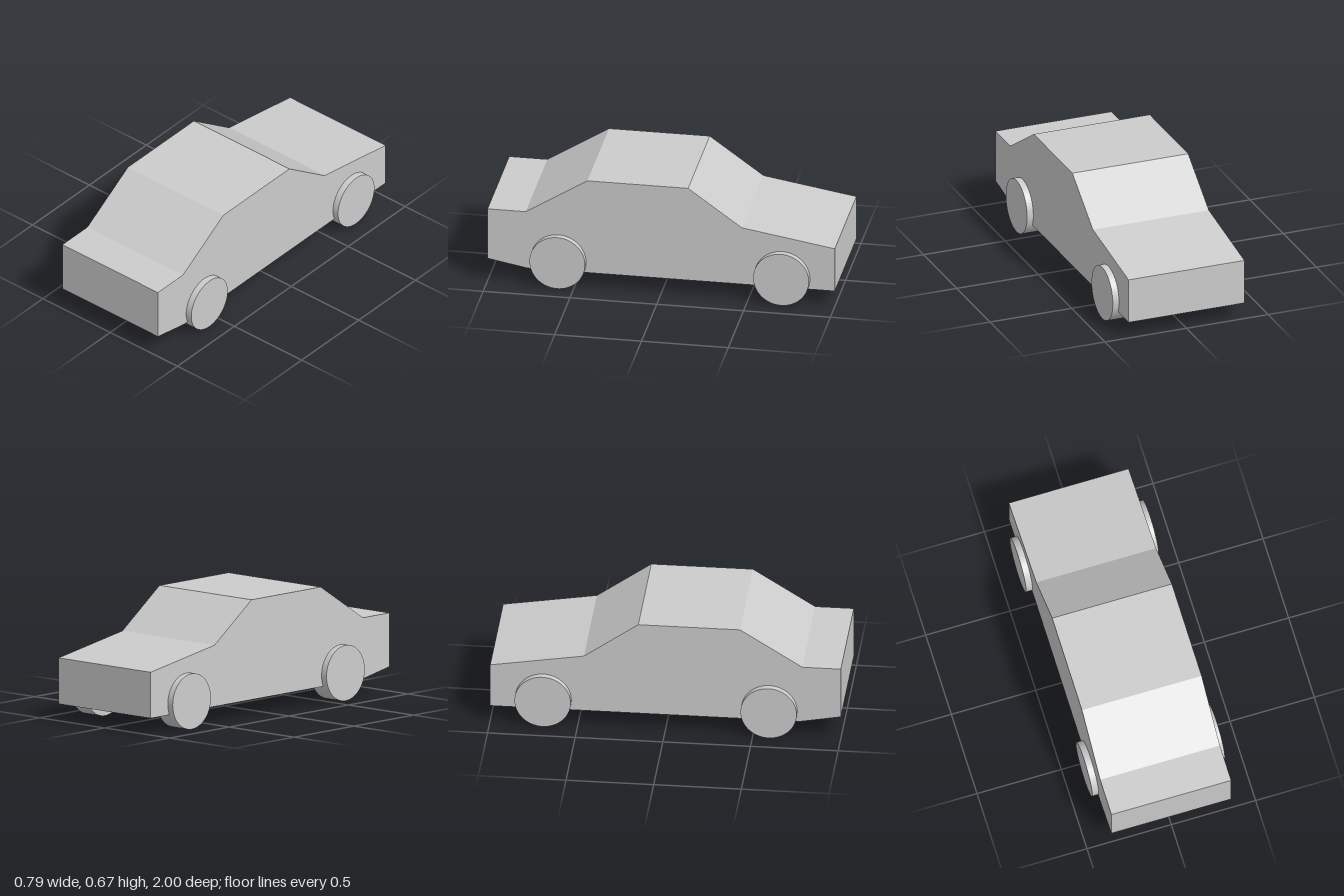
import * as THREE from 'three';

const BODY_HALF = 0.355;
const WHEEL_RADIUS = 0.16;
const WHEEL_WIDTH = 0.118;
const WHEEL_X = 0.334;

export function createModel() {
  const model = new THREE.Group();
  model.name = 'car';
  const grey = new THREE.MeshStandardMaterial({ color: 0xcccccc });
  grey.name = 'light grey';

  // Body: side profile as (z, y), extruded across the width
  const profile = [
    [1, 0.14], [1, 0.45], [0.78, 0.45], [0.425, 0.672], [-0.155, 0.672],
    [-0.465, 0.45], [-1, 0.362], [-1, 0.097], [0.77, 0.097],
  ].map(([z, y]) => new THREE.Vector2(z, y));
  const bodyGeometry = new THREE.ExtrudeGeometry(new THREE.Shape(profile), {
    depth: BODY_HALF * 2,
    bevelEnabled: false,
  });
  bodyGeometry.translate(0, 0, -BODY_HALF);
  bodyGeometry.rotateY(-Math.PI / 2);
  const body = new THREE.Mesh(bodyGeometry, grey);
  body.name = 'body';
  model.add(body);

  // Wheels: plain smooth discs, mirrored left and right
  const wheelGeometry = new THREE.CylinderGeometry(WHEEL_RADIUS, WHEEL_RADIUS, WHEEL_WIDTH, 64);
  wheelGeometry.rotateZ(Math.PI / 2);
  for (const [end, z] of [['front', 0.592], ['rear', -0.697]]) {
    for (const [side, sign] of [['Left', 1], ['Right', -1]]) {
      const wheel = new THREE.Mesh(wheelGeometry, grey);
      wheel.name = `${end}${side}Wheel`;
      wheel.position.set(sign * WHEEL_X, WHEEL_RADIUS, z);
      model.add(wheel);
    }
  }
  return model;
}
